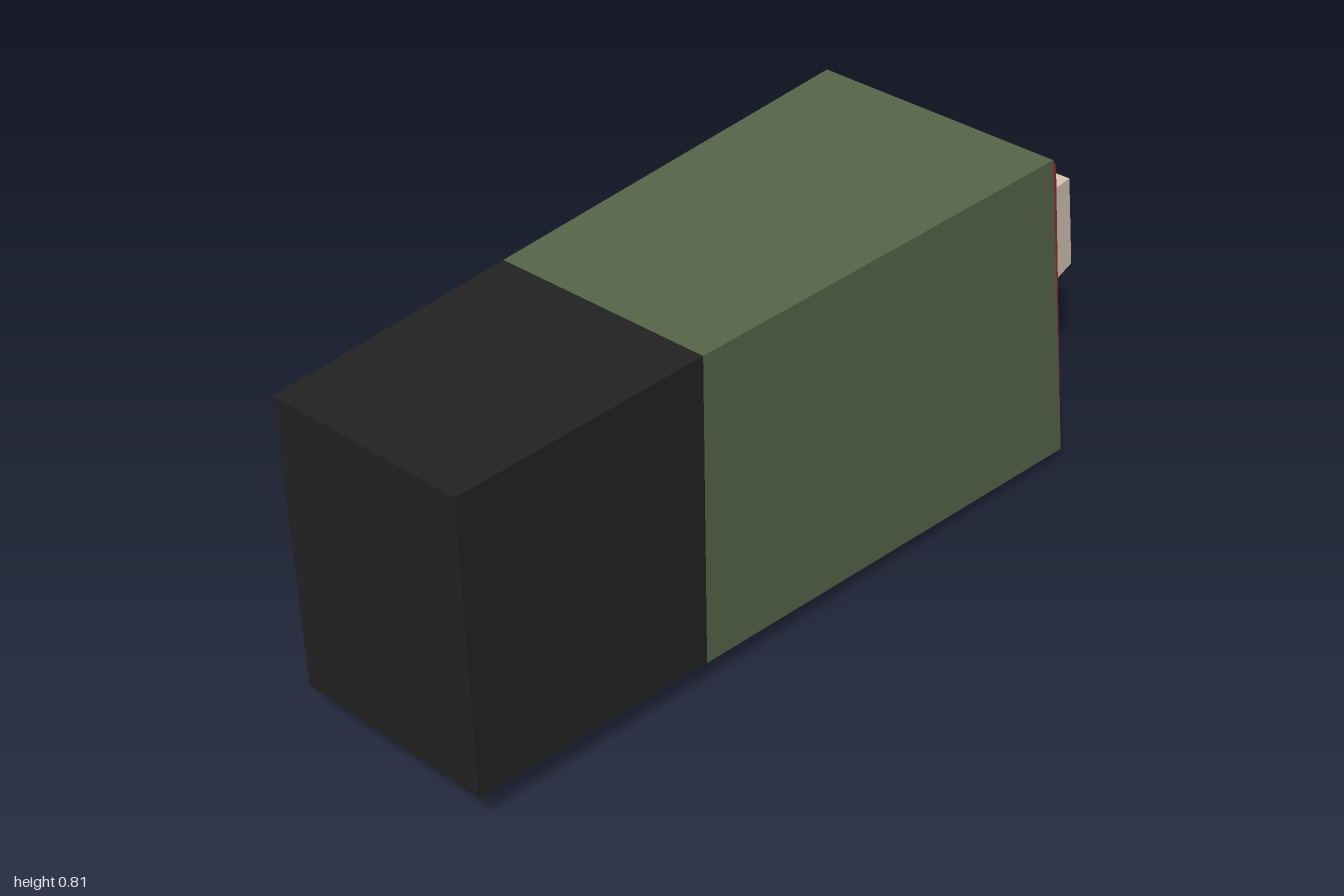
import * as THREE from 'three';

// Ring corners: top front, top back, bottom back, bottom front.
const ring = (xTop, xBottom, yTop, yBottom, zFront, zBack) => [
  [xTop, yTop[0], zFront], [xTop, yTop[1], zBack],
  [xBottom, yBottom[1], zBack], [xBottom, yBottom[0], zFront],
];

// Four-sided loft from ring a (lower x) to ring b (higher x), with optional end faces.
function loft(name, material, a, b, capA, capB) {
  const points = [];
  const quad = (p, q, r, s) => points.push(...p, ...q, ...r, ...p, ...r, ...s);
  for (let i = 0; i < 4; i++) {
    const j = (i + 1) % 4;
    quad(a[i], b[i], b[j], a[j]);
  }
  if (capA) quad(a[0], a[1], a[2], a[3]);
  if (capB) quad(b[3], b[2], b[1], b[0]);
  const geometry = new THREE.BufferGeometry();
  geometry.setAttribute('position', new THREE.Float32BufferAttribute(points, 3));
  geometry.computeVertexNormals();
  const mesh = new THREE.Mesh(geometry, material);
  mesh.name = name;
  return mesh;
}

function paint(name, color) {
  const material = new THREE.MeshStandardMaterial({ color });
  material.name = name;
  return material;
}

export function createModel() {
  const black = paint('black', 0x222222);
  const green = paint('olive green', 0x566549);
  const red = paint('red', 0xca3737);
  const cream = paint('cream', 0xd3c5b3);

  // Cross-sections along the tapered body
  const tail = ring(-1, -1, [0.735, 0.735], [0.087, 0.087], 0.243, -0.23);
  const seam = ring(-0.425, -0.425, [0.757, 0.763], [0.063, 0.058], 0.264, -0.256);
  const shoulder = ring(0.585, 0.702, [0.788, 0.81], [0.026, 0.003], 0.303, -0.303);
  const face = ring(0.708, 0.788, [0.707, 0.724], [0.137, 0.119], 0.229, -0.227);

  // Small stub rising from the slanted face
  const stubBase = ring(0.733, 0.773, [0.53, 0.535], [0.25, 0.24], 0.113, -0.106);
  const stubEnd = ring(0.964, 1, [0.537, 0.542], [0.305, 0.297], 0.098, -0.088);

  const model = new THREE.Group();
  model.name = 'taperedBlock';
  model.add(
    loft('blackEnd', black, tail, seam, true, false),
    loft('greenBody', green, seam, shoulder, false, false),
    loft('redBevelledCap', red, shoulder, face, false, true),
    loft('creamStub', cream, stubBase, stubEnd, true, true),
  );
  return model;
}
